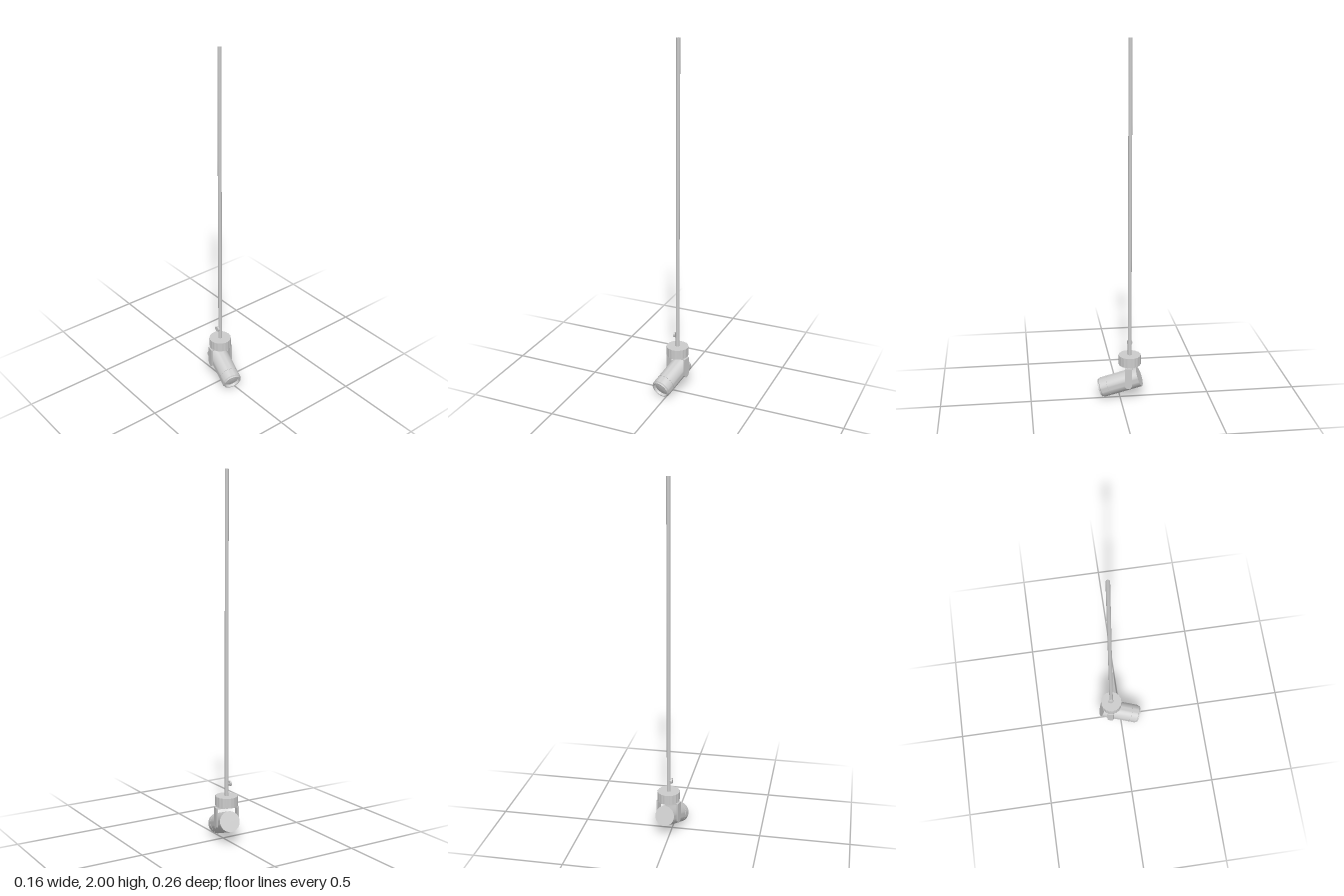
import * as THREE from 'three';
import { toCreasedNormals } from 'three/addons/utils/BufferGeometryUtils.js';

const grey = new THREE.MeshStandardMaterial({ color: 0xcccccc });
const greyDouble = new THREE.MeshStandardMaterial({ color: 0xcccccc, side: THREE.DoubleSide });

function add(parent, name, geometry, x = 0, y = 0, z = 0, material = grey) {
  const mesh = new THREE.Mesh(geometry, material);
  mesh.name = name;
  mesh.position.set(x, y, z);
  parent.add(mesh);
  return mesh;
}

// Turned body along +z, from [radius, z] pairs
function turned(profile) {
  const points = profile.map(([r, z]) => new THREE.Vector2(r, z));
  return toCreasedNormals(new THREE.LatheGeometry(points, 40).rotateX(Math.PI / 2), 0.6);
}

// Round cap with a gently scalloped rim
function scallopedDisc(radius, wave, lobes, height) {
  const points = [];
  const steps = lobes * 8;
  for (let i = 0; i < steps; i++) {
    const a = (i / steps) * Math.PI * 2;
    const r = radius + wave * Math.cos(a * lobes);
    points.push(new THREE.Vector2(r * Math.cos(a), r * Math.sin(a)));
  }
  const geometry = new THREE.ExtrudeGeometry(new THREE.Shape(points), { depth: height, bevelEnabled: false });
  return toCreasedNormals(geometry.rotateX(-Math.PI / 2), 0.6);
}

// Flat yoke arm with a rounded lower end, thickness along x
function armGeometry(halfWidth, top, bottom, thickness) {
  const shape = new THREE.Shape();
  shape.moveTo(halfWidth, top);
  shape.lineTo(-halfWidth, top);
  shape.lineTo(-halfWidth, bottom + halfWidth);
  shape.absarc(0, bottom + halfWidth, halfWidth, Math.PI, Math.PI * 2, false);
  shape.closePath();
  const geometry = new THREE.ExtrudeGeometry(shape, { depth: thickness, bevelEnabled: false, curveSegments: 16 });
  geometry.translate(0, 0, -thickness / 2).rotateY(Math.PI / 2);
  return toCreasedNormals(geometry, 0.6);
}

export function createModel() {
  const model = new THREE.Group();
  model.name = 'stemSpotlight';

  // Everything hangs from the stem axis
  const fixture = new THREE.Group();
  fixture.name = 'fixture';
  fixture.position.set(0.01, 0, -0.053);
  model.add(fixture);

  // Long open stem and its mounting cap
  add(fixture, 'stem', new THREE.CylinderGeometry(0.0105, 0.0105, 1.76, 16, 1, true), 0, 1.12, 0, greyDouble);
  add(fixture, 'mountingCap', scallopedDisc(0.0615, 0.0012, 18, 0.055), 0, 0.204, 0);
  add(fixture, 'swivelStub', new THREE.CylinderGeometry(0.011, 0.011, 0.016, 20), 0, 0.199, 0);

  // Thumb screw on the side of the stem
  const screw = new THREE.Group();
  screw.name = 'thumbScrew';
  screw.position.set(-0.018, 0.325, -0.003);
  fixture.add(screw);
  add(screw, 'screwHead', new THREE.CylinderGeometry(0.015, 0.015, 0.01, 16).rotateZ(Math.PI / 2));
  add(screw, 'screwShank', new THREE.CylinderGeometry(0.005, 0.005, 0.014, 12).rotateZ(Math.PI / 2), 0.008);

  // Swivelled yoke: crossbar and two arms
  const yoke = new THREE.Group();
  yoke.name = 'yoke';
  yoke.rotation.y = -0.23;
  fixture.add(yoke);
  add(yoke, 'crossbar', new THREE.BoxGeometry(0.13, 0.006, 0.04), 0, 0.195, 0);
  for (const side of [-1, 1]) {
    const prefix = side > 0 ? 'left' : 'right';
    add(yoke, prefix + 'Arm', armGeometry(0.02, 0.198, 0.079, 0.009), side * 0.061, 0, 0);
  }

  // Tilted lamp with seam groove, front lip and recessed lens
  const lamp = new THREE.Group();
  lamp.name = 'lamp';
  lamp.position.y = 0.109;
  lamp.rotation.x = 0.35;
  yoke.add(lamp);
  add(lamp, 'housing', turned([
    [0, -0.059], [0.056, -0.059], [0.056, 0.118], [0.054, 0.118], [0.054, 0.121],
    [0.056, 0.121], [0.056, 0.163], [0.051, 0.167], [0.051, 0.175],
    [0.045, 0.175], [0.043, 0.16], [0, 0.16],
  ]));
  add(lamp, 'lens', turned([[0.043, 0.16], [0.03, 0.163], [0.015, 0.165], [0, 0.166]]));

  return model;
}
